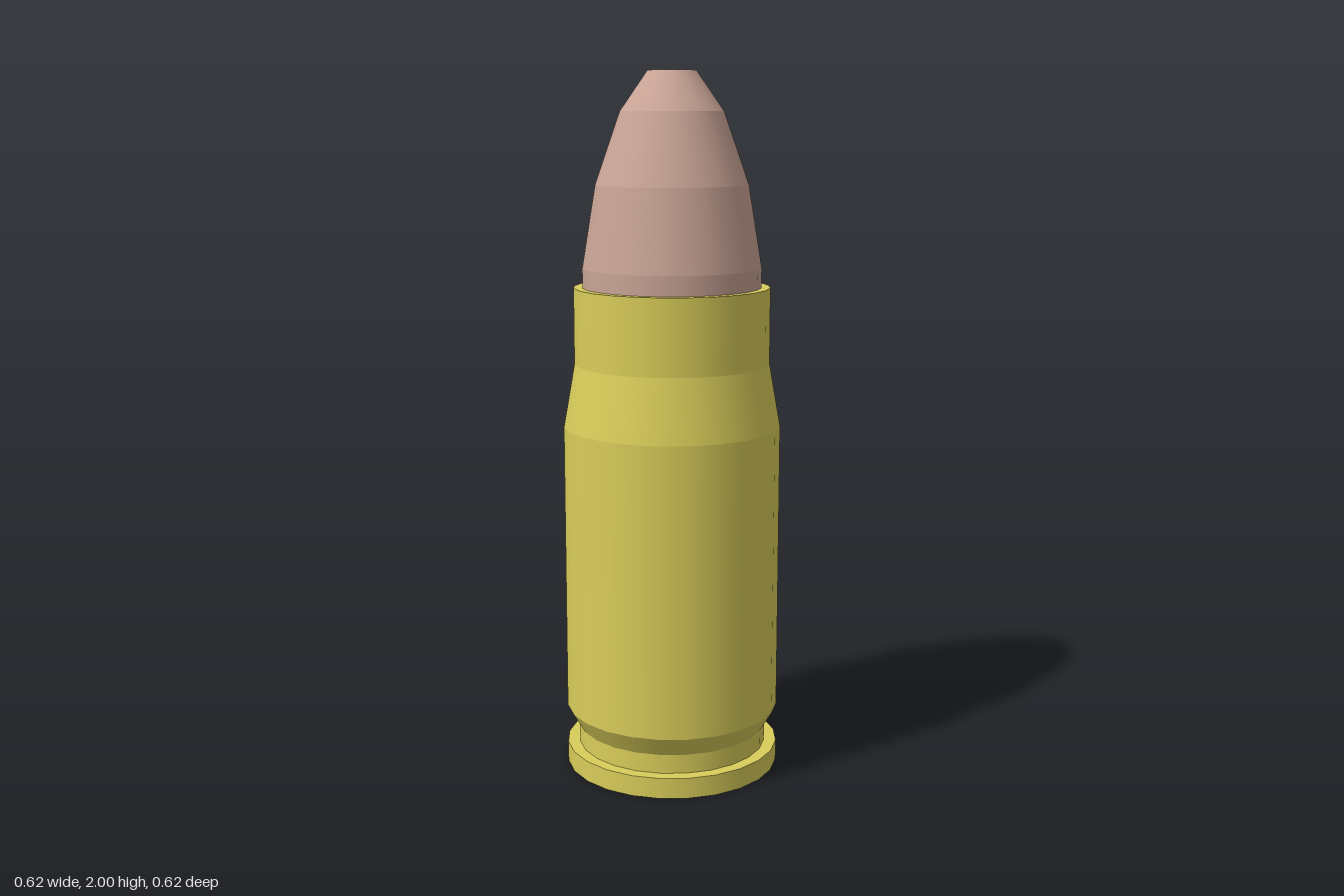
import * as THREE from 'three';
import { mergeGeometries } from 'three/addons/utils/BufferGeometryUtils.js';

const SIDES = 24;

// Turned part: smooth around the axis, with a crisp edge at every profile point.
// The profile runs from bottom to top as [radius, height].
function turned(name, color, profile) {
  const bands = [];
  for (let i = 0; i < profile.length - 1; i++) {
    const pair = [profile[i], profile[i + 1]].map(([r, y]) => new THREE.Vector2(r, y));
    bands.push(new THREE.LatheGeometry(pair, SIDES));
  }
  const mesh = new THREE.Mesh(mergeGeometries(bands), new THREE.MeshStandardMaterial({ color }));
  mesh.name = name;
  return mesh;
}

export function createModel() {
  const group = new THREE.Group();
  group.name = 'cartridge';

  // Brass case: base, rim, extractor groove, body, shoulder, neck and mouth
  group.add(turned('case', 0xd9cd5a, [
    [0.14, 0], [0.31, 0], [0.31, 0.06], [0.275, 0.06], [0.275, 0.115],
    [0.31, 0.175], [0.31, 1.01], [0.278, 1.19], [0.278, 1.405], [0.253, 1.405],
  ]));

  // Copper bullet with a flat tip
  group.add(turned('bullet', 0xc9a496, [
    [0.253, 1.405], [0.253, 1.46], [0.215, 1.69], [0.145, 1.89], [0.068, 2], [0, 2],
  ]));

  // Primer disc, flush with the base
  group.add(turned('primer', 0x8e8e8e, [[0, 0], [0.14, 0]]));

  return group;
}
